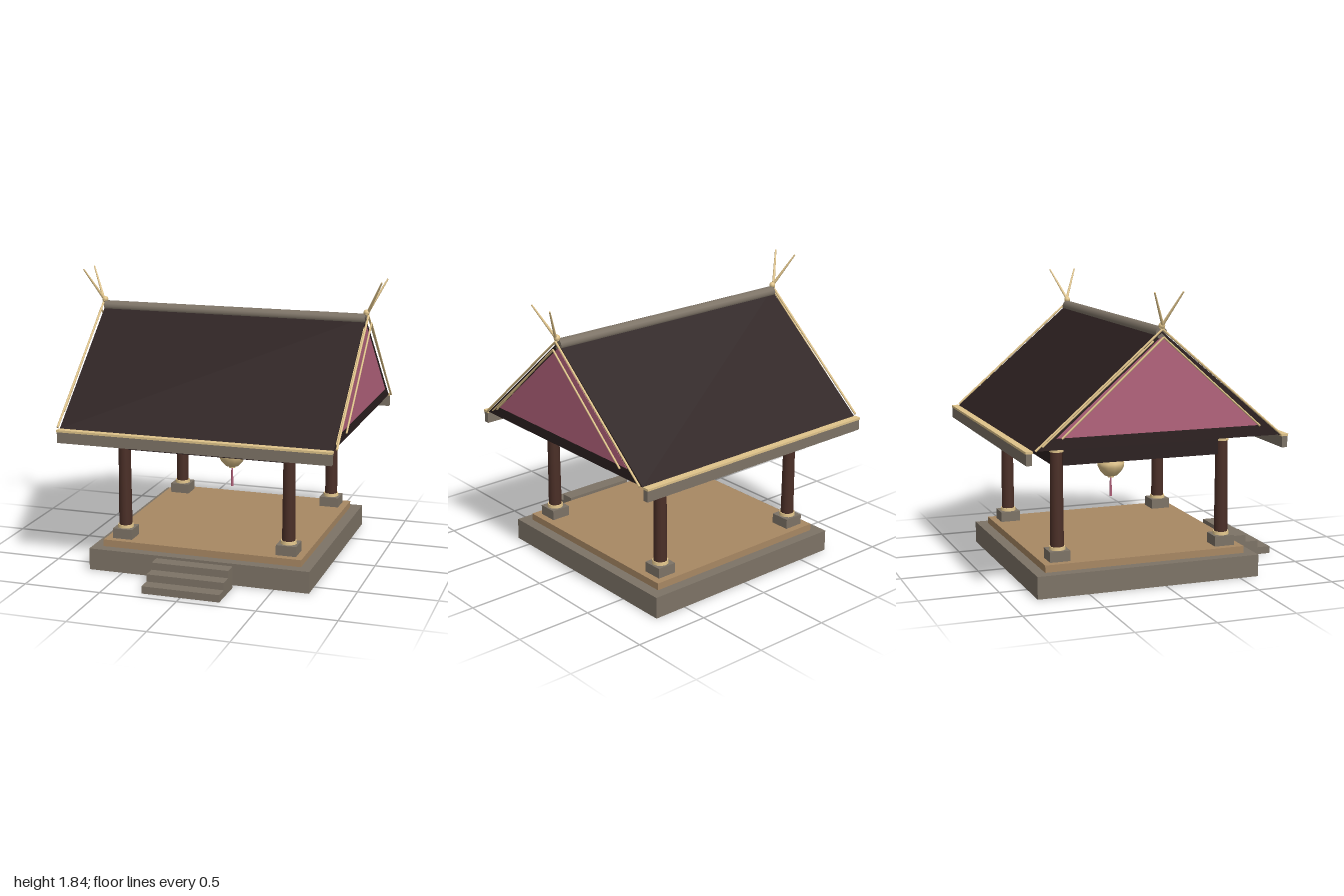
import * as THREE from 'three';

const mat = (name, color) => {
  const m = new THREE.MeshStandardMaterial({ color });
  m.name = name;
  return m;
};

export function createModel() {
  const stone = mat('stone', 0x7d7366);
  const floorWood = mat('floor wood', 0xa88863);
  const postWood = mat('post wood', 0x4b2f27);
  const roofDark = mat('dark roof', 0x2b1f1f);
  const gold = mat('gold', 0xe0c48b);
  const pink = mat('rose', 0xb2627b);

  const model = new THREE.Group();
  model.name = 'pavilion';
  // The pavilion is centred slightly back, leaving room for the steps
  const pavilion = new THREE.Group();
  pavilion.name = 'pavilionBody';
  pavilion.position.z = -0.1;
  model.add(pavilion);

  const add = (name, geometry, material, x = 0, y = 0, z = 0, parent = pavilion) => {
    const mesh = new THREE.Mesh(geometry, material);
    mesh.name = name;
    mesh.position.set(x, y, z);
    parent.add(mesh);
    return mesh;
  };
  // Box given by its bottom height
  const box = (name, material, w, h, d, x, y, z, parent) =>
    add(name, new THREE.BoxGeometry(w, h, d), material, x, y + h / 2, z, parent);
  // Upright cylinder given by its bottom height
  const cyl = (name, material, rTop, rBottom, h, x, y, z, sides = 12) =>
    add(name, new THREE.CylinderGeometry(rTop, rBottom, h, sides), material, x, y + h / 2, z);
  // Tapered rod between two points
  const rod = (name, material, a, b, rA, rB) => {
    const dir = b.clone().sub(a);
    const mesh = add(name, new THREE.CylinderGeometry(rB, rA, dir.length(), 8), material);
    mesh.position.copy(a).add(b).multiplyScalar(0.5);
    mesh.quaternion.setFromUnitVectors(new THREE.Vector3(0, 1, 0), dir.normalize());
  };
  // Outline in the z-y plane, extruded along x
  const prism = (name, material, points, length, x) => {
    const shape = new THREE.Shape(points.map(p => new THREE.Vector2(...p)));
    const geo = new THREE.ExtrudeGeometry(shape, { depth: length, bevelEnabled: false });
    geo.translate(0, 0, -length / 2);
    geo.rotateY(Math.PI / 2);
    add(name, geo, material, x);
  };

  // Platform and floor
  box('platform', stone, 1.45, 0.14, 1.45, 0, 0, 0);
  box('floor', floorWood, 1.31, 0.045, 1.31, 0, 0.14, 0);

  // Front steps
  for (let i = 0; i < 3; i++) {
    box('step', stone, 0.5, 0.0467 * (i + 1), 0.0883, 0, 0, 0.891 - i * 0.0883, model);
  }

  // Posts with plinths and gold rings
  for (const sx of [-1, 1]) {
    for (const sz of [-1, 1]) {
      const x = sx * 0.544, z = sz * 0.544;
      box('plinth', stone, 0.13, 0.065, 0.13, x, 0.185, z);
      cyl('postFootRing', gold, 0.05, 0.052, 0.02, x, 0.25, z);
      cyl('post', postWood, 0.038, 0.043, 0.655, x, 0.25, z);
      cyl('postTopRing', gold, 0.045, 0.045, 0.016, x, 0.855, z);
    }
  }

  // Tie beams
  for (const s of [-1, 1]) {
    box('crossBeam', roofDark, 1.02, 0.11, 0.05, 0, 0.77, s * 0.544);
    box('sideBeam', roofDark, 0.05, 0.11, 1.02, s * 0.544, 0.77, 0);
  }

  // Hollow roof of two thin slopes, ridge and eaves
  prism('roofSlopes', roofDark,
    [[0.772, 0.93], [0.788, 0.93], [0, 1.6], [-0.788, 0.93], [-0.772, 0.93], [0, 1.586]], 1.76, 0);
  const ridge = add('ridge', new THREE.CylinderGeometry(0.036, 0.036, 1.76, 12), stone, 0, 1.587, 0);
  ridge.rotation.z = Math.PI / 2;
  for (const s of [-1, 1]) {
    box('eaveBoard', stone, 1.76, 0.07, 0.036, 0, 0.85, s * 0.815);
    box('eaveCap', gold, 1.765, 0.014, 0.045, 0, 0.92, s * 0.815);
  }

  // Gables with gold edging and crossed finials
  for (const s of [-1, 1]) {
    prism('gableWall', roofDark, [[-0.78, 0.932], [0.78, 0.932], [0, 1.594]], 0.008, s * 0.8755);
    prism('gablePanel', pink, [[-0.65, 1.0], [0.65, 1.0], [0, 1.565]], 0.004, s * 0.8805);
    add('finialBall', new THREE.SphereGeometry(0.02, 12, 8), gold, s * 0.885, 1.63, 0);
    for (const t of [-1, 1]) {
      const p = (x, y, z) => new THREE.Vector3(s * x, y, t * z);
      rod('bargeboard', gold, p(0.897, 1.61, 0), p(0.897, 0.937, 0.782), 0.007, 0.007);
      rod('gableTrim', gold, p(0.918, 1.565, 0), p(0.918, 1.003, 0.628), 0.006, 0.006);
      rod('finialHorn', gold, p(0.885, 1.615, -0.01), p(0.997, 1.835, 0.09), 0.01, 0.005);
    }
    // Inner edging, on opposite slopes at the two ends
    rod('innerEdging', gold, new THREE.Vector3(s * 0.88, 1.54, s * 0.05),
      new THREE.Vector3(s * 0.88, 0.955, s * 0.735), 0.006, 0.006);
  }

  // Hanging lantern
  const profile = [[0.001, 0.56], [0.042, 0.56], [0.07, 0.588], [0.088, 0.622],
    [0.09, 0.645], [0.076, 0.683], [0.05, 0.712], [0.001, 0.714]];
  add('lantern', new THREE.LatheGeometry(profile.map(q => new THREE.Vector2(...q)), 12), gold);
  cyl('lanternTopCap', gold, 0.03, 0.03, 0.018, 0, 0.713, 0);
  cyl('lanternBottomCap', gold, 0.025, 0.022, 0.014, 0, 0.547, 0);
  cyl('tassel', pink, 0.006, 0.009, 0.127, 0, 0.42, 0, 8);

  return model;
}
